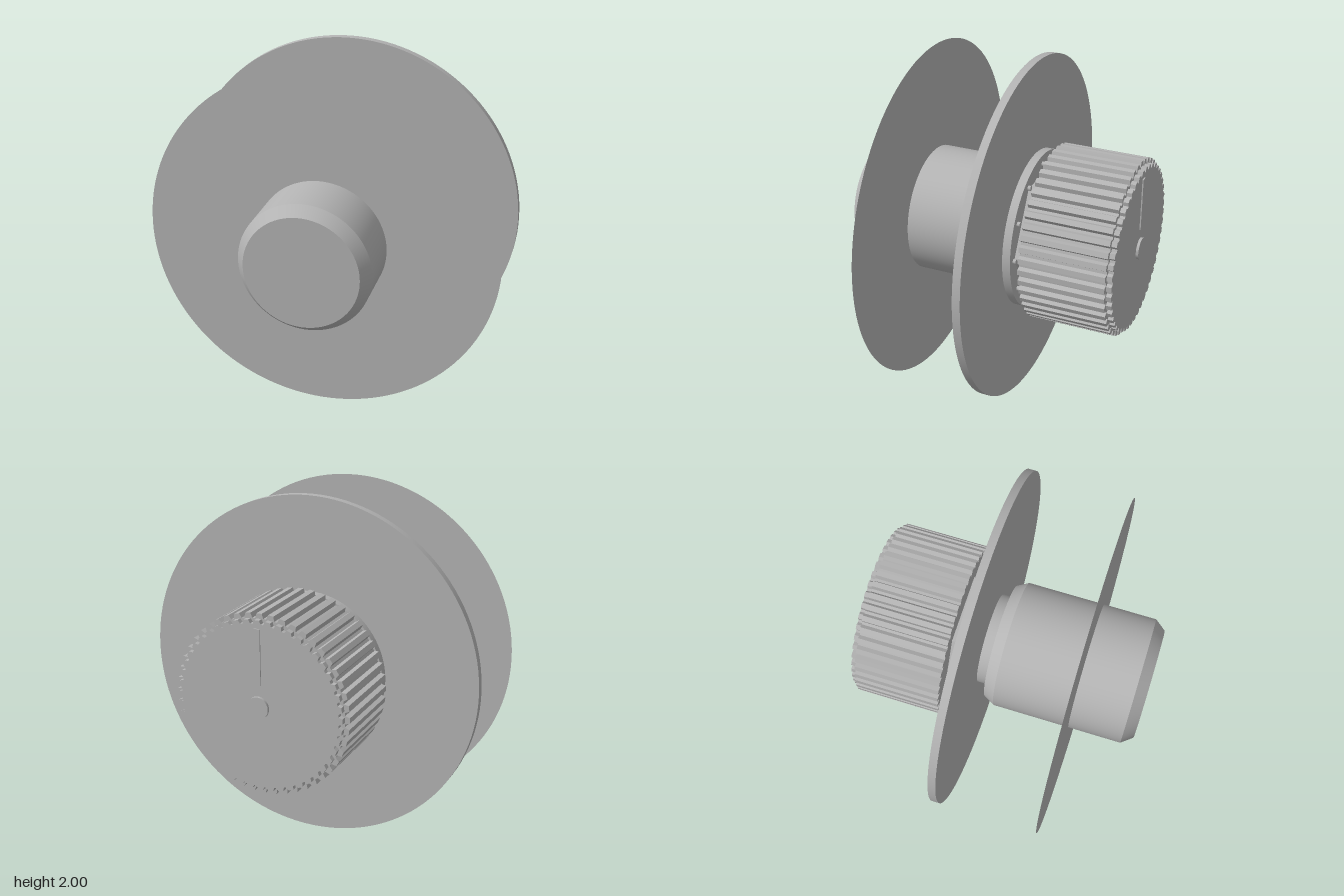
import * as THREE from 'three';
import { toCreasedNormals } from 'three/addons/utils/BufferGeometryUtils.js';

const AXIS_Y = 1; // height of the common axis, which runs along z

export function createModel() {
  const model = new THREE.Group();
  model.name = 'rotaryControl';
  const grey = new THREE.MeshStandardMaterial({ color: 0xb4b4b4 });
  grey.name = 'grey';
  const greySheet = new THREE.MeshStandardMaterial({ color: 0xb4b4b4, side: THREE.DoubleSide });
  greySheet.name = 'grey sheet';

  const add = (name, geometry, material = grey, parent = model) => {
    const mesh = new THREE.Mesh(geometry, material);
    mesh.name = name;
    parent.add(mesh);
    return mesh;
  };

  // Solid turned about the z axis; profile is [radius, z] from back to front
  const turned = (profile, sides = 96) => {
    const points = profile.map(([r, z]) => new THREE.Vector2(r, z));
    const geometry = new THREE.LatheGeometry(points, sides).rotateX(Math.PI / 2);
    return toCreasedNormals(geometry, 0.4).translate(0, AXIS_Y, 0);
  };
  const disc = (r, back, front, sides) =>
    turned([[0, back], [r, back], [r, front], [0, front]], sides);

  // Ribbed slab extruded along z
  const ribbed = (outer, inner, back, front, count) => {
    const shape = new THREE.Shape();
    const step = (Math.PI * 2) / count;
    for (let i = 0; i < count; i++) {
      [[-0.25, outer], [0.2, outer], [0.35, inner], [0.6, inner]].forEach(([t, r], k) => {
        const a = (i + t) * step;
        const x = r * Math.cos(a), y = r * Math.sin(a);
        if (i === 0 && k === 0) shape.moveTo(x, y);
        else shape.lineTo(x, y);
      });
    }
    shape.closePath();
    return new THREE.ExtrudeGeometry(shape, { depth: front - back, bevelEnabled: false })
      .translate(0, AXIS_Y, back);
  };

  // Front housing with chamfered ends, and its neck
  add('body', turned([
    [0, -0.065], [0.335, -0.065], [0.37, 0], [0.37, 0.76], [0.32, 0.825], [0, 0.825],
  ]));
  add('neck', disc(0.265, -0.135, -0.06));

  // Paper-thin panel around the housing
  add('panelSheet', new THREE.CircleGeometry(1, 128).translate(0, AXIS_Y, 0.45), greySheet);

  // Dial plate and raised collar
  add('dialPlate', disc(1, -0.175, -0.13, 128));
  add('collar', disc(0.46, -0.222, -0.17));

  // Twelve position pegs on the collar
  const pegs = new THREE.Group();
  pegs.name = 'positionPegs';
  model.add(pegs);
  for (let i = 0; i < 12; i++) {
    const a = (i * Math.PI) / 6;
    const peg = add('peg', new THREE.CylinderGeometry(0.014, 0.014, 0.025, 16), grey, pegs);
    peg.rotation.x = Math.PI / 2;
    peg.position.set(0.41 * Math.cos(a), AXIS_Y + 0.41 * Math.sin(a), -0.2265);
  }

  // Hexagonal nut with its corners to the sides
  const nut = new THREE.CylinderGeometry(0.4, 0.4, 0.08, 6, 1, false, Math.PI / 2);
  add('hexNut', toCreasedNormals(nut.rotateX(Math.PI / 2), 0.4).translate(0, AXIS_Y, -0.255));

  // Ribbed knob with a smaller ribbed cap
  add('knob', ribbed(0.508, 0.482, -0.78, -0.285, 48));
  add('knobCap', ribbed(0.48, 0.46, -0.81, -0.775, 48));

  // Pointer bar and centre button on the knob face
  const pointer = add('pointer', new THREE.BoxGeometry(0.035, 0.31, 0.015));
  pointer.position.set(0, AXIS_Y + 0.28, -0.8095);
  add('centreButton', disc(0.062, -0.825, -0.8, 48));

  return model;
}
